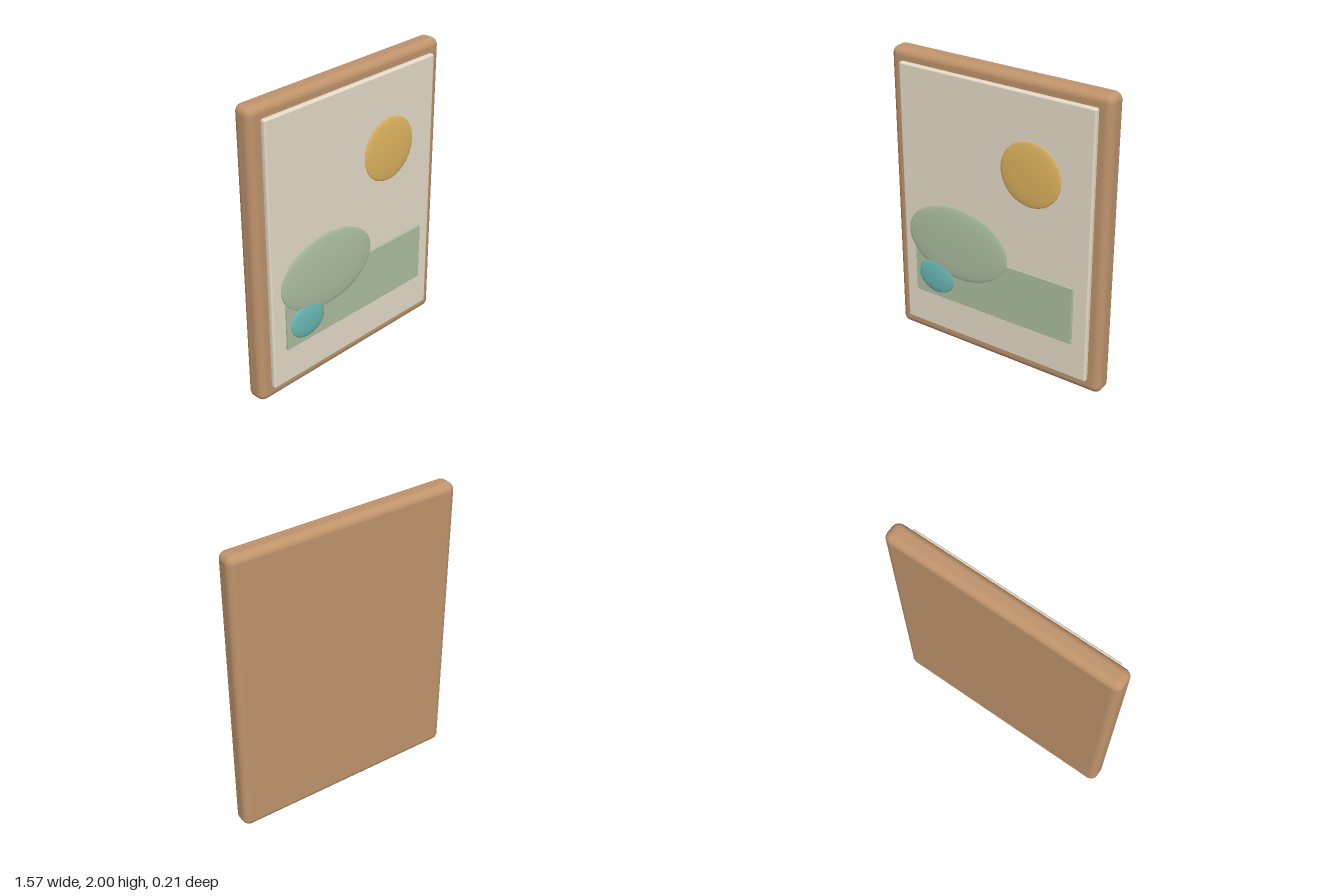
import * as THREE from 'three';
import { RoundedBoxGeometry } from 'three/addons/geometries/RoundedBoxGeometry.js';

export function createModel() {
  const group = new THREE.Group();

  function add(name, geometry, color, x, y, z) {
    const mesh = new THREE.Mesh(geometry, new THREE.MeshStandardMaterial({ color }));
    mesh.name = name;
    mesh.position.set(x, y, z);
    group.add(mesh);
  }

  // Panel with rounded edges, placed between two depths
  function panel(name, color, w, h, x, y, back, front, radius) {
    const geometry = new RoundedBoxGeometry(w, h, front - back, 5, radius);
    add(name, geometry, color, x, y, (back + front) / 2);
  }

  // Flattened ellipsoid used as a raised relief shape
  function pebble(name, color, rx, ry, rz, x, y, z) {
    const geometry = new THREE.SphereGeometry(1, 40, 28).scale(rx, ry, rz);
    add(name, geometry, color, x, y, z);
  }

  // Frame and picture board
  panel('frame', 0xc0946c, 1.57, 2, 0, 1, -0.105, 0.036, 0.05);
  panel('pictureBoard', 0xe6dcc9, 1.4, 1.83, 0, 1.005, 0.01, 0.066, 0.012);

  // Raised landscape
  panel('field', 0xaec0a3, 1.2, 0.4, 0, 0.547, 0.07, 0.086, 0.004);
  pebble('sun', 0xe0b560, 0.213, 0.213, 0.0175, 0.284, 1.418, 0.08);
  pebble('hill', 0xaec0a3, 0.383, 0.255, 0.02, -0.26, 0.79, 0.085);
  pebble('pond', 0x6cbab6, 0.14, 0.12, 0.019, -0.431, 0.498, 0.086);

  return group;
}
